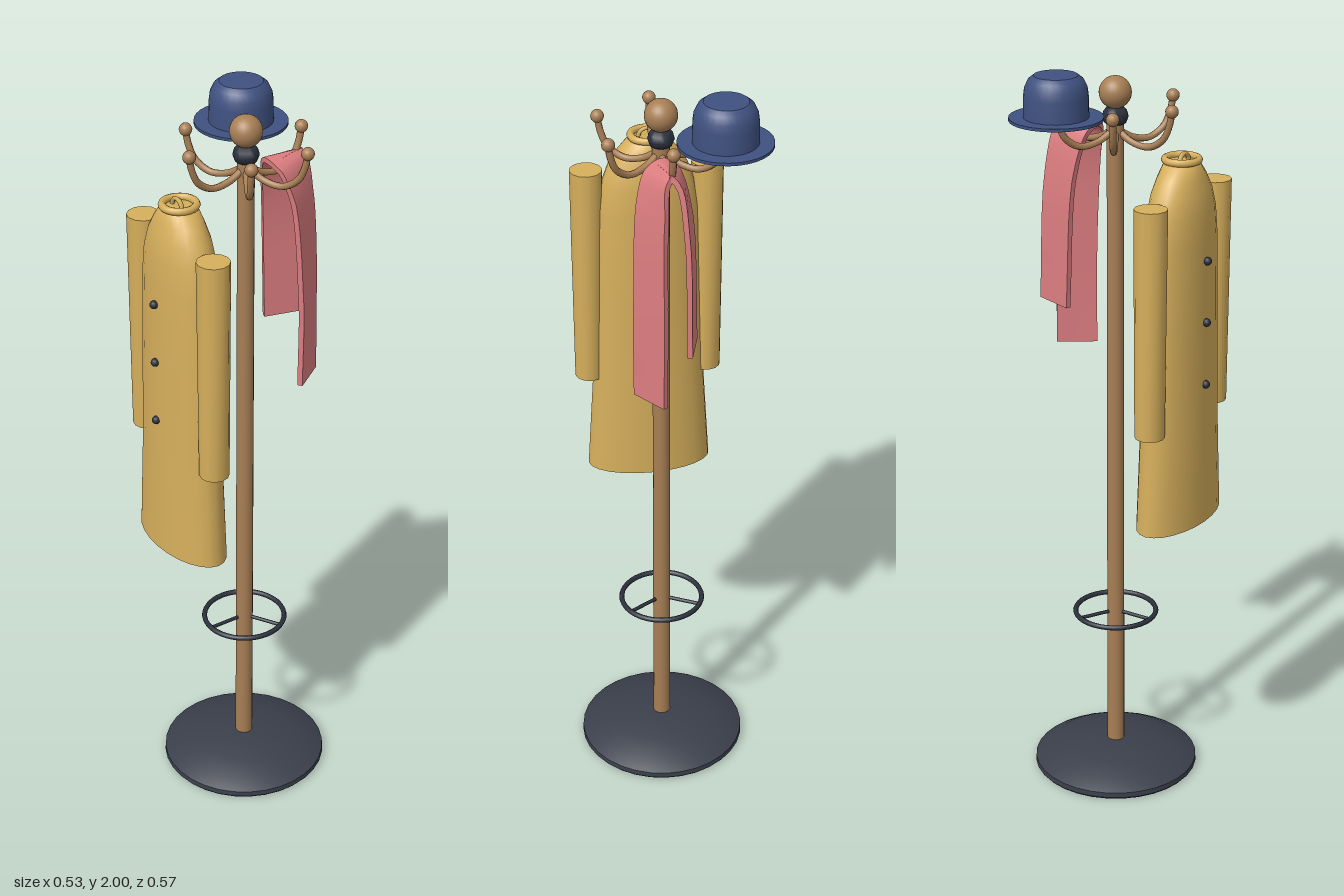
import * as THREE from 'three';
import { toCreasedNormals } from 'three/addons/utils/BufferGeometryUtils.js';

const V = (x, y, z) => new THREE.Vector3(x, y, z);

function paint(name, color) {
  const m = new THREE.MeshStandardMaterial({ color });
  m.name = name;
  return m;
}

function add(parent, name, geometry, material, x = 0, y = 0, z = 0) {
  const mesh = new THREE.Mesh(geometry, material);
  mesh.name = name;
  mesh.position.set(x, y, z);
  parent.add(mesh);
  return mesh;
}

const lathe = (pts, segs, crease = 0.5) =>
  toCreasedNormals(new THREE.LatheGeometry(pts.map(p => new THREE.Vector2(...p)), segs), crease);

// Closed skin through rings of points, each counter-clockwise about the travel direction
function loft(rings, crease = 0.6) {
  const n = rings[0].length, last = rings.length - 1;
  const pos = [], idx = [];
  rings.forEach(r => r.forEach(p => pos.push(p.x, p.y, p.z)));
  for (let i = 0; i < last; i++) {
    for (let j = 0; j < n; j++) {
      const k = (j + 1) % n, a = i * n, b = a + n;
      idx.push(a + j, a + k, b + k, a + j, b + k, b + j);
    }
  }
  for (let j = 1; j < n - 1; j++) {
    idx.push(0, j + 1, j, last * n, last * n + j, last * n + j + 1);
  }
  const g = new THREE.BufferGeometry();
  g.setAttribute('position', new THREE.Float32BufferAttribute(pos, 3));
  g.setIndex(idx);
  return toCreasedNormals(g, crease);
}

function ellipse(y, a, b, segs = 24) {
  return Array.from({ length: segs }, (_, i) => {
    const t = (i / segs) * Math.PI * 2;
    return V(a * Math.cos(t), y, -b * Math.sin(t));
  });
}

export function createModel() {
  const wood = paint('wood', 0xa87f55);
  const iron = paint('iron', 0x3a3f4b);
  const dark = paint('darkMetal', 0x2b303c);
  const cloth = paint('coatCloth', 0xd6af5c);
  const felt = paint('hatFelt', 0x3f5180);
  const wool = paint('scarfWool', 0xdc7d80);

  const root = new THREE.Group();
  root.name = 'coatStand';

  // Stand: everything here is centred on the pole
  const stand = new THREE.Group();
  stand.name = 'stand';
  stand.position.x = 0.033;
  root.add(stand);
  add(stand, 'base', lathe([[0, 0], [0.222, 0], [0.227, 0.006], [0.226, 0.02], [0.19, 0.04],
    [0.13, 0.058], [0.07, 0.069], [0, 0.072]], 32), iron);
  add(stand, 'pole', new THREE.CylinderGeometry(0.022, 0.024, 1.82, 16), wood, 0, 0.97);
  add(stand, 'collar', lathe([[0.02, 1.852], [0.028, 1.857], [0.034, 1.873], [0.03, 1.887],
    [0.022, 1.896], [0, 1.898]], 20, 1), dark);
  add(stand, 'finial', new THREE.SphereGeometry(0.042, 24, 16), wood, 0, 1.935);

  // Foot ring with three spokes
  add(stand, 'footRing', new THREE.TorusGeometry(0.111, 0.007, 8, 36), dark, 0, 0.472)
    .rotation.x = Math.PI / 2;
  for (let i = 0; i < 3; i++) {
    const turn = new THREE.Group();
    turn.name = 'spoke';
    turn.rotation.y = -(Math.PI / 6 + i * Math.PI * 2 / 3);
    add(turn, 'spokeRod', new THREE.CylinderGeometry(0.005, 0.005, 0.1, 8), dark, 0.06, 0.472)
      .rotation.z = Math.PI / 2;
    stand.add(turn);
  }

  // Six curved hooks with ball tips
  const hookPath = new THREE.CatmullRomCurve3([V(0.01, 1.835, 0), V(0.05, 1.812, 0),
    V(0.1, 1.806, 0), V(0.142, 1.832, 0), V(0.16, 1.87, 0), V(0.167, 1.905, 0)]);
  const hookTube = new THREE.TubeGeometry(hookPath, 20, 0.009, 8);
  const hookTip = new THREE.SphereGeometry(0.017, 14, 10);
  for (let i = 0; i < 6; i++) {
    const hook = new THREE.Group();
    hook.name = 'hook';
    hook.rotation.y = -(Math.PI / 6 + i * Math.PI / 3);
    add(hook, 'hookArm', hookTube, wood);
    add(hook, 'hookTip', hookTip, wood, 0.167, 1.907);
    stand.add(hook);
  }

  // Hat on the rear hook
  const hat = new THREE.Group();
  hat.name = 'hat';
  hat.position.set(0.033, 0, -0.167);
  root.add(hat);
  add(hat, 'brim', new THREE.CylinderGeometry(0.12, 0.12, 0.008, 32), felt, 0, 1.888);
  add(hat, 'crown', lathe([[0.083, 1.89], [0.082, 1.945], [0.079, 1.968], [0.07, 1.987],
    [0.056, 1.998], [0, 2]], 28), felt);

  // Coat facing outward from its hook
  const coat = new THREE.Group();
  coat.name = 'coat';
  coat.position.set(-0.138, 0, 0.0985);
  coat.rotation.y = -Math.PI / 3;
  root.add(coat);
  const sections = [[0.81, 0.168, 0.082], [1.09, 0.151, 0.077], [1.35, 0.142, 0.075],
    [1.58, 0.134, 0.074], [1.66, 0.122, 0.072], [1.71, 0.104, 0.066], [1.75, 0.08, 0.055],
    [1.778, 0.055, 0.046], [1.786, 0.04, 0.036]];
  add(coat, 'coatBody', loft(sections.map(s => ellipse(...s))), cloth);
  add(coat, 'coatCollar', new THREE.TorusGeometry(0.043, 0.01, 8, 20), cloth, 0, 1.79)
    .rotation.x = Math.PI / 2;
  add(coat, 'hangingLoop', new THREE.TorusGeometry(0.022, 0.006, 6, 16), cloth, 0, 1.784, 0.006);
  for (const side of [-1, 1]) {
    add(coat, 'sleeve', toCreasedNormals(new THREE.CylinderGeometry(0.043, 0.039, 0.61, 12), 0.6),
      cloth, side * 0.159, 1.397, 0.006);
  }
  for (const y of [1.2, 1.37, 1.535]) {
    add(coat, 'button', new THREE.SphereGeometry(0.011, 12, 8), dark, 0, y, 0.079);
  }

  // Scarf draped over a hook: centre line and width direction, from long end to short end
  const centre = new THREE.CatmullRomCurve3([V(0.198, 1.217, -0.03), V(0.195, 1.5, -0.03),
    V(0.177, 1.74, -0.028), V(0.153, 1.825, -0.033), V(0.132, 1.842, -0.052),
    V(0.128, 1.822, -0.078), V(0.134, 1.7, -0.108), V(0.142, 1.36, -0.122)]);
  const across = new THREE.CatmullRomCurve3([V(0.42, 0, -0.9), V(0.42, 0, -0.9),
    V(0.48, 0, -0.87), V(0.68, 0, -0.73), V(0.866, 0, -0.5),
    V(0.92, 0, -0.38), V(0.97, 0, -0.25), V(0.97, 0, -0.22)]);
  const rings = [];
  for (let i = 0; i <= 42; i++) {
    const p = centre.getPoint(i / 42), t = centre.getTangent(i / 42);
    const w = across.getPoint(i / 42);
    w.addScaledVector(t, -w.dot(t)).normalize();
    const n = t.clone().cross(w);
    rings.push([[1, 1], [-1, 1], [-1, -1], [1, -1]].map(([a, b]) =>
      p.clone().addScaledVector(w, a * 0.054).addScaledVector(n, b * 0.007)));
  }
  add(root, 'scarf', loft(rings), wool);

  return root;
}
